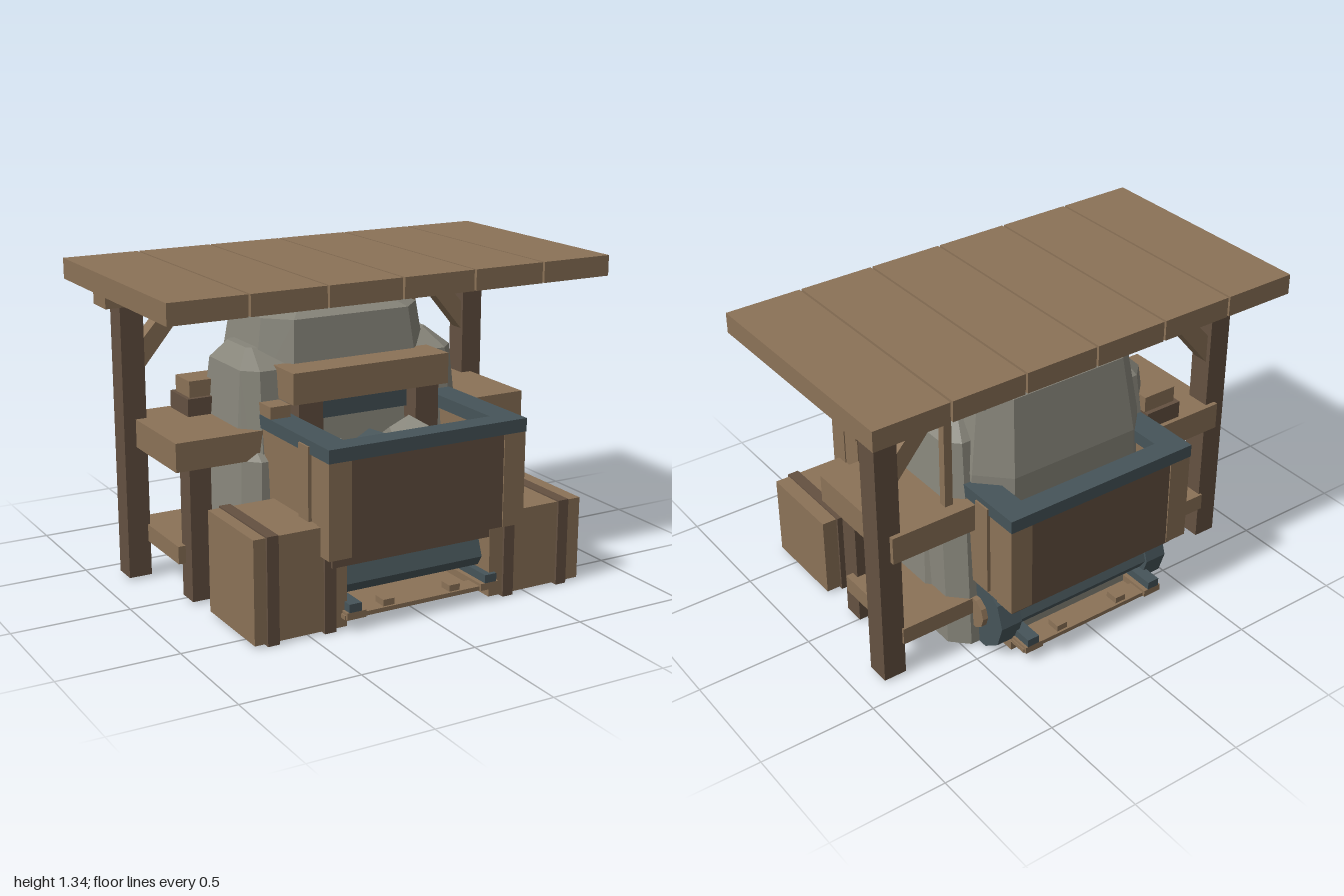
import * as THREE from 'three';
import { ConvexGeometry } from 'three/addons/geometries/ConvexGeometry.js';

const mat = (name, color) => {
  const m = new THREE.MeshStandardMaterial({ color, flatShading: true });
  m.name = name;
  return m;
};

export function createModel() {
  const root = new THREE.Group();
  root.name = 'mineStation';
  const wood = mat('wood', 0x8b7257);
  const darkWood = mat('darkWood', 0x645141);
  const stone = mat('stone', 0x87857a);
  const iron = mat('iron', 0x465459);

  const add = (name, geo, m) => {
    const mesh = new THREE.Mesh(geo, m);
    mesh.name = name;
    root.add(mesh);
    return mesh;
  };
  // Box given by its limits on each axis
  const box = (name, m, x0, x1, y0, y1, z0, z1) => {
    const mesh = add(name, new THREE.BoxGeometry(Math.abs(x1 - x0), y1 - y0, Math.abs(z1 - z0)), m);
    mesh.position.set((x0 + x1) / 2, (y0 + y1) / 2, (z0 + z1) / 2);
    return mesh;
  };
  // Faceted rock: hull of chamfered rectangles [y, x0, x1, z0, z1, chamfer]
  const rock = (name, rings, side = 1) => {
    const pts = [];
    for (const [y, x0, x1, z0, z1, c] of rings) {
      for (const [x, dx] of [[x0, c], [x1, -c]]) {
        for (const [z, dz] of [[z0, c], [z1, -c]]) {
          pts.push(new THREE.Vector3(side * (x + dx), y, z), new THREE.Vector3(side * x, y, z + dz));
        }
      }
    }
    add(name, new ConvexGeometry(pts), stone);
  };
  // Flat outline in the xy plane given a thickness along z
  const slab = (name, m, pts, z0, z1) => {
    const shape = new THREE.Shape(pts.map(([x, y]) => new THREE.Vector2(x, y)));
    const geo = new THREE.ExtrudeGeometry(shape, { depth: z1 - z0, bevelEnabled: false });
    geo.translate(0, 0, z0);
    return add(name, geo, m);
  };

  // Roof planks and beam
  for (let i = 0; i < 6; i++) {
    const x = -1 + i / 3;
    box('roofPlank', wood, x + (i ? 0.005 : 0), x + 1 / 3 - (i < 5 ? 0.005 : 0), 1.255, 1.342, -0.6, 0.46);
  }
  box('roofBeam', wood, -0.95, 0.95, 1.18, 1.255, -0.4, -0.27);

  // Rock mound
  rock('mainRock', [
    [0.01, -0.46, 0.46, -0.5, 0.19, 0.14],
    [0.8, -0.42, 0.42, -0.485, 0.1, 0.12],
    [1.125, -0.37, 0.37, -0.435, 0.055, 0.1],
    [1.19, -0.17, 0.2, -0.3, -0.1, 0.02],
  ]);
  for (const s of [-1, 1]) {
    rock('shoulderRock', [
      [0.01, 0.25, 0.54, -0.42, 0.19, 0.07],
      [0.6, 0.25, 0.53, -0.38, 0.11, 0.07],
      [0.935, 0.25, 0.5, -0.33, 0.08, 0.06],
      [1.005, 0.28, 0.43, -0.26, -0.05, 0.02],
    ], s);
    rock('lowerRock', [
      [0.01, 0.2, 0.57, -0.3, 0.2, 0.07],
      [0.58, 0.25, 0.535, -0.25, 0.155, 0.06],
      [0.615, 0.3, 0.5, -0.2, 0.1, 0.03],
    ], s);
  }

  for (const s of [-1, 1]) {
    // Roof posts and braces
    box('roofPost', darkWood, s * 0.78, s * 0.88, 0.01, 1.18, -0.4, -0.295);
    const brace = [[0.785, 0.9], [0.785, 1.025], [0.645, 1.18], [0.55, 1.18]].map(([x, y]) => [s * x, y]);
    slab('brace', wood, brace, -0.38, -0.31);
    // Side benches with shelf below
    box('bench', wood, s * 0.43, s * 0.828, 0.58, 0.7, -0.42, 0.11);
    box('benchLeg', darkWood, s * 0.665, s * 0.758, 0.01, 0.58, -0.015, 0.08);
    box('benchShelf', wood, s * 0.45, s * 0.79, 0.16, 0.235, -0.41, 0.02);
  }

  // Small chest and offcut
  box('chestBase', darkWood, -0.625, -0.45, 0.7, 0.775, -0.4, -0.22);
  box('chestLid', wood, -0.608, -0.45, 0.775, 0.845, -0.38, -0.24);
  box('offcut', wood, -0.45, -0.36, 0.75, 0.815, 0.06, 0.19);

  // Lintel over the cart
  box('lintel', wood, -0.365, 0.365, 0.82, 0.95, 0.04, 0.225);
  for (const s of [-1, 1]) box('lintelPost', darkWood, s * 0.22, s * 0.33, 0.4, 0.82, 0.08, 0.205);
  box('lintelBar', iron, -0.22, 0.22, 0.72, 0.81, 0.08, 0.13);

  // Cart body
  box('cartFloor', darkWood, -0.41, 0.41, 0.27, 0.32, -0.62, 0.62);
  box('cartBed', darkWood, -0.41, 0.41, 0.32, 0.5, -0.62, 0.62);
  for (const s of [-1, 1]) {
    box('cartSide', wood, s * 0.4, s * 0.445, 0.32, 0.71, -0.6, 0.6);
    box('cartEnd', darkWood, -0.35, 0.35, 0.32, 0.71, s * 0.6, s * 0.662);
    box('rimSide', iron, s * 0.337, s * 0.452, 0.71, 0.765, -0.67, 0.67);
    box('rimEnd', iron, -0.337, 0.337, 0.71, 0.765, s * 0.575, s * 0.67);
    for (const e of [-1, 1]) {
      box('cartCorner', wood, s * 0.35, s * 0.45, 0.32, 0.71, e * 0.57, e * 0.667);
      box('cartStrap', wood, s * 0.44, s * 0.46, 0.34, 0.74, e * 0.44, e * 0.52);
      // Wheels and hubs
      for (const [name, m, r, w, x] of [['wheel', iron, 0.168, 0.1, 0.38], ['wheelHub', wood, 0.072, 0.12, 0.395]]) {
        const geo = new THREE.CylinderGeometry(r, r, w, 10).rotateX(Math.PI / 2 + Math.PI).rotateX(Math.PI / 2).rotateZ(Math.PI / 2);
        add(name, geo, m).position.set(s * x, 0.168, e * 0.41);
      }
    }
    // Axle guards
    const guard = [[0.38, 0.125], [0.54, 0.125], [0.568, 0.168], [0.53, 0.27], [0.38, 0.27]].map(([z, y]) => [s * z, y]);
    slab('axleGuard', iron, guard, -0.35, 0.35).rotation.y = -Math.PI / 2;
  }

  // Cart load
  const lumps = [[stone, 0.12, 0.6, 0.32, 0.14], [iron, -0.1, 0.6, 0.4, 0.13], [stone, -0.2, 0.55, 0.25, 0.12], [stone, 0.2, 0.54, 0.46, 0.1]];
  lumps.forEach(([m, x, y, z, r], i) => {
    const lump = add('oreLump', new THREE.DodecahedronGeometry(r, 0), m);
    lump.position.set(x, y, z);
    lump.rotation.set(i, i * 2, 0.4);
  });

  // Track
  box('trackBed', wood, -0.36, 0.36, 0.01, 0.05, -0.545, 0.545);
  for (const s of [-1, 1]) {
    box('rail', iron, s * 0.29, s * 0.345, 0.08, 0.115, -0.64, 0.64);
    box('railBeam', wood, s * 0.27, s * 0.355, 0.05, 0.08, -0.64, 0.64);
    for (const e of [-1, 1]) box('tieBlock', wood, s * 0.13, s * 0.18, 0.05, 0.095, e * 0.56, e * 0.62);
  }
  for (const z of [-0.59, -0.3, 0, 0.3, 0.59]) box('tie', wood, -0.36, 0.36, 0.05, 0.068, z - 0.04, z + 0.04);

  // Crates with dark bands
  const crate = (x0, x1, y1, z0, z1, bands) => {
    box('crate', wood, x0, x1, 0.01, y1, z0, z1);
    for (const x of bands) box('crateBand', darkWood, x - 0.025, x + 0.025, 0, y1 + 0.006, z0 - 0.01, z1 + 0.01);
  };
  crate(-0.737, -0.335, 0.438, 0.2, 0.6, [-0.66, -0.412]);
  crate(0.32, 0.77, 0.365, 0.228, 0.622, [0.68, 0.41]);

  // Pickaxe leaning by the rock
  box('pickHandle', wood, 0.512, 0.548, 0.7, 1.13, -0.365, -0.33);
  slab('pickHead', iron, [[0.36, 1.08], [0.5, 1.12], [0.57, 1.12], [0.73, 1.08], [0.73, 1.1], [0.57, 1.165], [0.5, 1.165], [0.36, 1.105]], -0.375, -0.32);

  return root;
}
